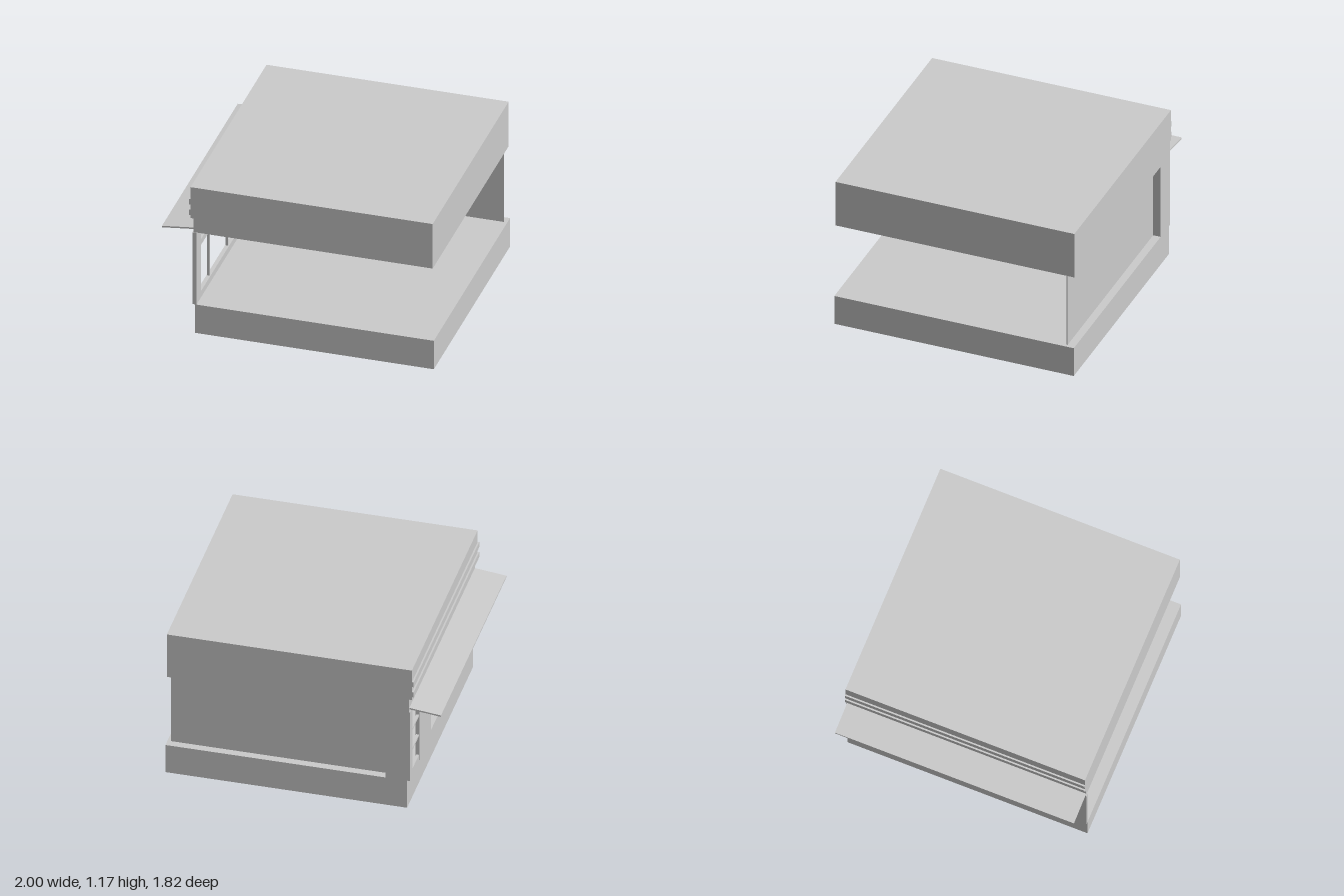
import * as THREE from 'three';

const material = new THREE.MeshStandardMaterial({ color: 0xcccccc, flatShading: true });

export function createModel() {
  const root = new THREE.Group();
  root.name = 'shopBuilding';

  // Box given by its limits on each axis
  function block(name, x0, x1, y0, y1, z0, z1, parent = root) {
    const mesh = new THREE.Mesh(new THREE.BoxGeometry(x1 - x0, y1 - y0, z1 - z0), material);
    mesh.position.set((x0 + x1) / 2, (y0 + y1) / 2, (z0 + z1) / 2);
    mesh.name = name;
    parent.add(mesh);
    return mesh;
  }

  const FLOOR = 0.23, CEILING = 0.81, BACK = -0.91, FRONT = 0.91;

  // Foundation and roof, the roof stepping out above the fascia
  block('base', -0.755, 1, 0, FLOOR, BACK, FRONT);
  block('lowerFascia', -0.77, 0.99, CEILING, 0.92, BACK, 0.905);
  block('roof', -0.79, 0.99, 0.92, 1.17, BACK, 0.905);

  // Two horizontal rails on the fascia above the shopfront
  for (const y of [0.945, 1.03]) block('fasciaRail', -0.802, -0.79, y, y + 0.042, BACK, 0.905);

  // Sloping awning, extruded along the facade
  const profile = new THREE.Shape([
    [-1, 0.81], [-0.77, 0.835], [-0.77, 0.847], [-1, 0.822],
  ].map(([x, y]) => new THREE.Vector2(x, y)));
  const awning = new THREE.Mesh(
    new THREE.ExtrudeGeometry(profile, { depth: 1.81, bevelEnabled: false }), material);
  awning.position.z = -0.905;
  awning.name = 'awning';
  root.add(awning);

  // Back wall, recessed beside a corner pier with a return
  block('backWall', -0.6, 0.975, FLOOR, CEILING, -0.853, -0.845);
  block('cornerPier', -0.775, -0.6, FLOOR, CEILING, BACK, -0.9);
  block('pierReturn', -0.608, -0.6, FLOOR, CEILING, -0.9, -0.845);

  // Shopfront: solid piers and sill
  const facade = new THREE.Group();
  facade.name = 'shopfront';
  root.add(facade);
  const wall = (name, y0, y1, z0, z1) => block(name, -0.775, -0.745, y0, y1, z0, z1, facade);
  const frame = (name, y0, y1, z0, z1) => block(name, -0.772, -0.752, y0, y1, z0, z1, facade);
  wall('frontPier', FLOOR, CEILING, 0.8, FRONT);
  wall('middlePier', FLOOR, CEILING, -0.64, -0.32);
  wall('backPier', FLOOR, CEILING, -0.9, -0.83);
  wall('windowSill', FLOOR, 0.28, -0.32, 0.8);

  // Window posts, with transom bars across the two narrow bays
  for (const z of [0.791, 0.567, 0.123, -0.104]) frame('windowPost', 0.28, CEILING, z - 0.006, z + 0.006);
  for (const [z0, z1] of [[0.567, 0.791], [-0.104, 0.123]]) {
    frame('transomBar', 0.64, 0.685, z0, z1);
    frame('headBar', 0.765, CEILING, z0, z1);
  }

  // Three-pane door frame
  for (const [y0, y1] of [[FLOOR, 0.28], [0.438, 0.452], [0.605, 0.62], [0.765, CEILING]])
    frame('doorBar', y0, y1, -0.82, -0.645);
  frame('doorPost', FLOOR, CEILING, -0.83, -0.82);
  frame('doorPost', FLOOR, CEILING, -0.647, -0.64);

  return root;
}
